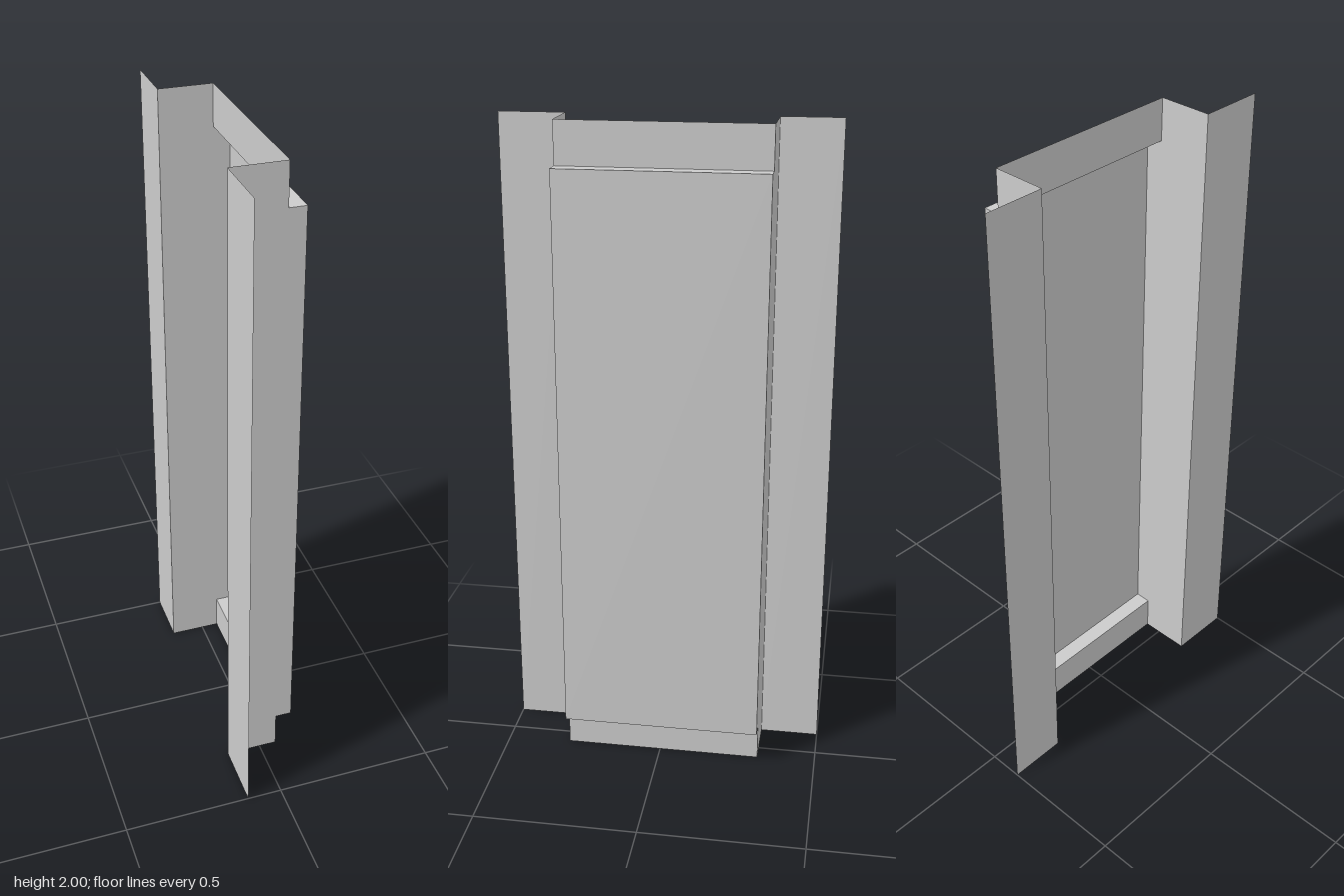
import * as THREE from 'three';

const material = new THREE.MeshStandardMaterial({ color: 0xcccccc, side: THREE.DoubleSide, flatShading: true });

// Main depths (x), heights (y) and wall positions (z) of the folded sheet
const BACK = -0.108, STEP = 0.055, FACE = 0.106;
const LOW = 0.115, HIGH = 1.873, TOP = 2;
const Z_FRONT = 0.3, Z_BACK = -0.317, EDGE = 0.5;

export function createModel() {
  const group = new THREE.Group();
  group.name = 'foldedPanel';

  const add = (name, geometry) => {
    const mesh = new THREE.Mesh(geometry, material);
    mesh.name = name;
    group.add(mesh);
    return mesh;
  };

  // Upright sheet facing +x
  const upright = (name, x, y0, y1, z0, z1) => {
    const g = new THREE.PlaneGeometry(z1 - z0, y1 - y0).rotateY(Math.PI / 2);
    add(name, g.translate(x, (y0 + y1) / 2, (z0 + z1) / 2));
  };

  // Level sheet joining the recessed strip to the raised face
  const ledge = (name, y, facing) => {
    const g = new THREE.PlaneGeometry(FACE - STEP, Z_FRONT - Z_BACK).rotateX(-facing * Math.PI / 2);
    add(name, g.translate((STEP + FACE) / 2, y, (Z_FRONT + Z_BACK) / 2));
  };

  // Mounting flanges
  upright('frontFlange', BACK, 0, TOP, Z_FRONT, EDGE);
  upright('backFlange', BACK, 0, TOP, -EDGE, Z_BACK);

  // Side walls, notched at both ends
  const wall = new THREE.Shape([
    [BACK, 0], [STEP, 0], [STEP, LOW], [FACE, LOW],
    [FACE, HIGH], [STEP, HIGH], [STEP, TOP], [BACK, TOP],
  ].map(([x, y]) => new THREE.Vector2(x, y)));
  add('frontWall', new THREE.ShapeGeometry(wall)).position.z = Z_FRONT;
  add('backWall', new THREE.ShapeGeometry(wall)).position.z = Z_BACK;

  // Raised face with recessed strips above and below
  upright('raisedFace', FACE, LOW, HIGH, Z_BACK, Z_FRONT);
  upright('topStrip', STEP, HIGH, TOP, Z_BACK, Z_FRONT);
  upright('bottomStrip', STEP, 0, LOW, Z_BACK, Z_FRONT);
  ledge('topLedge', HIGH, 1);
  ledge('bottomLedge', LOW, -1);

  return group;
}
